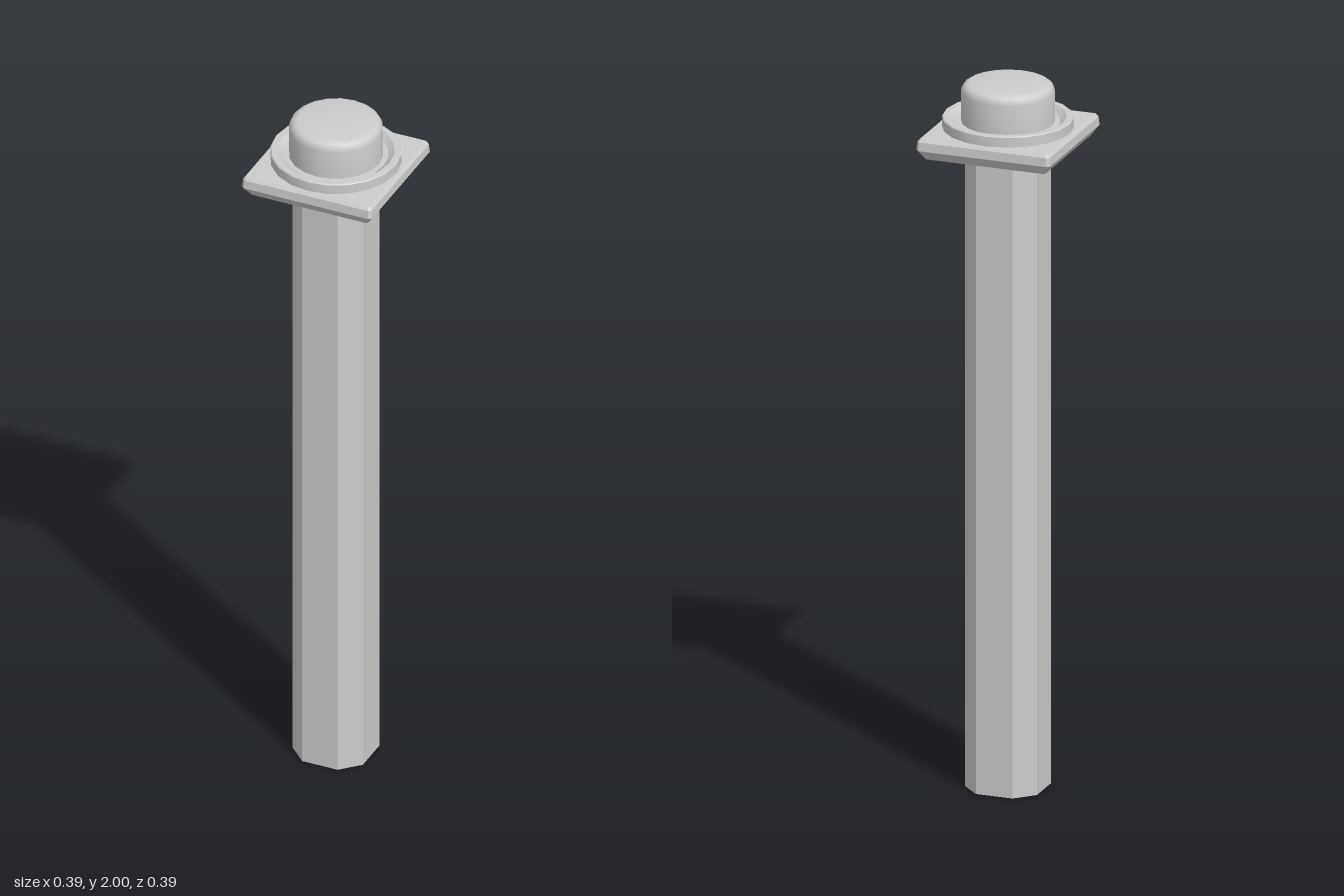
import * as THREE from 'three';
import { toCreasedNormals } from 'three/addons/utils/BufferGeometryUtils.js';

const flat = new THREE.MeshStandardMaterial({ color: 0xcccccc, flatShading: true });
const smooth = new THREE.MeshStandardMaterial({ color: 0xcccccc });

// Square with cut corners, as eight points [x, z] running from +z towards +x
function cutSquare(half, cut) {
  const k = half - cut;
  return [[-k, half], [k, half], [half, k], [half, -k], [k, -half], [-k, -half], [-half, -k], [-half, k]];
}

// Closed solid through cut squares given bottom to top as [y, half width, corner cut]
function loft(levels) {
  const positions = [], index = [], n = 8;
  for (const [y, half, cut] of levels) {
    for (const [x, z] of cutSquare(half, cut)) positions.push(x, y, z);
  }
  for (let l = 0; l < levels.length - 1; l++) {
    for (let i = 0; i < n; i++) {
      const a = l * n + i, b = l * n + (i + 1) % n;
      index.push(a, b, b + n, a, b + n, a + n);
    }
  }
  const top = (levels.length - 1) * n;
  for (let i = 1; i < n - 1; i++) {
    index.push(0, i + 1, i, top, top + i, top + i + 1);
  }
  const geometry = new THREE.BufferGeometry();
  geometry.setAttribute('position', new THREE.Float32BufferAttribute(positions, 3));
  geometry.setIndex(index);
  geometry.computeVertexNormals();
  return geometry;
}

// Twenty-sided turned part from a [radius, y] profile, bottom to top
function turned(profile) {
  const points = profile.map(([r, y]) => new THREE.Vector2(r, y));
  return toCreasedNormals(new THREE.LatheGeometry(points, 20), 0.6);
}

export function createModel() {
  const model = new THREE.Group();
  const add = (name, geometry, material) => {
    const mesh = new THREE.Mesh(geometry, material);
    mesh.name = name;
    model.add(mesh);
  };

  // Eight-sided post
  add('post', loft([[0, 0.104, 0.051], [1.83, 0.104, 0.051]]), flat);

  // Square plate with bevelled rim
  add('plate', loft([
    [1.815, 0.173, 0.004], [1.843, 0.193, 0.008], [1.867, 0.191, 0.008], [1.875, 0.184, 0.003],
  ]), flat);

  // Round collar with a dished top
  add('collar', turned([
    [0, 1.87], [0.178, 1.87], [0.178, 1.902], [0.175, 1.905],
    [0.159, 1.905], [0.142, 1.892], [0, 1.892],
  ]), smooth);

  // Round cap with a softened upper edge
  const round = 0.025, cap = [[0, 1.88], [0.127, 1.88]];
  for (let i = 0; i <= 4; i++) {
    const a = (i / 4) * Math.PI / 2;
    cap.push([0.127 - round + round * Math.cos(a), 2 - round + round * Math.sin(a)]);
  }
  cap.push([0, 2]);
  add('cap', turned(cap), smooth);

  return model;
}
